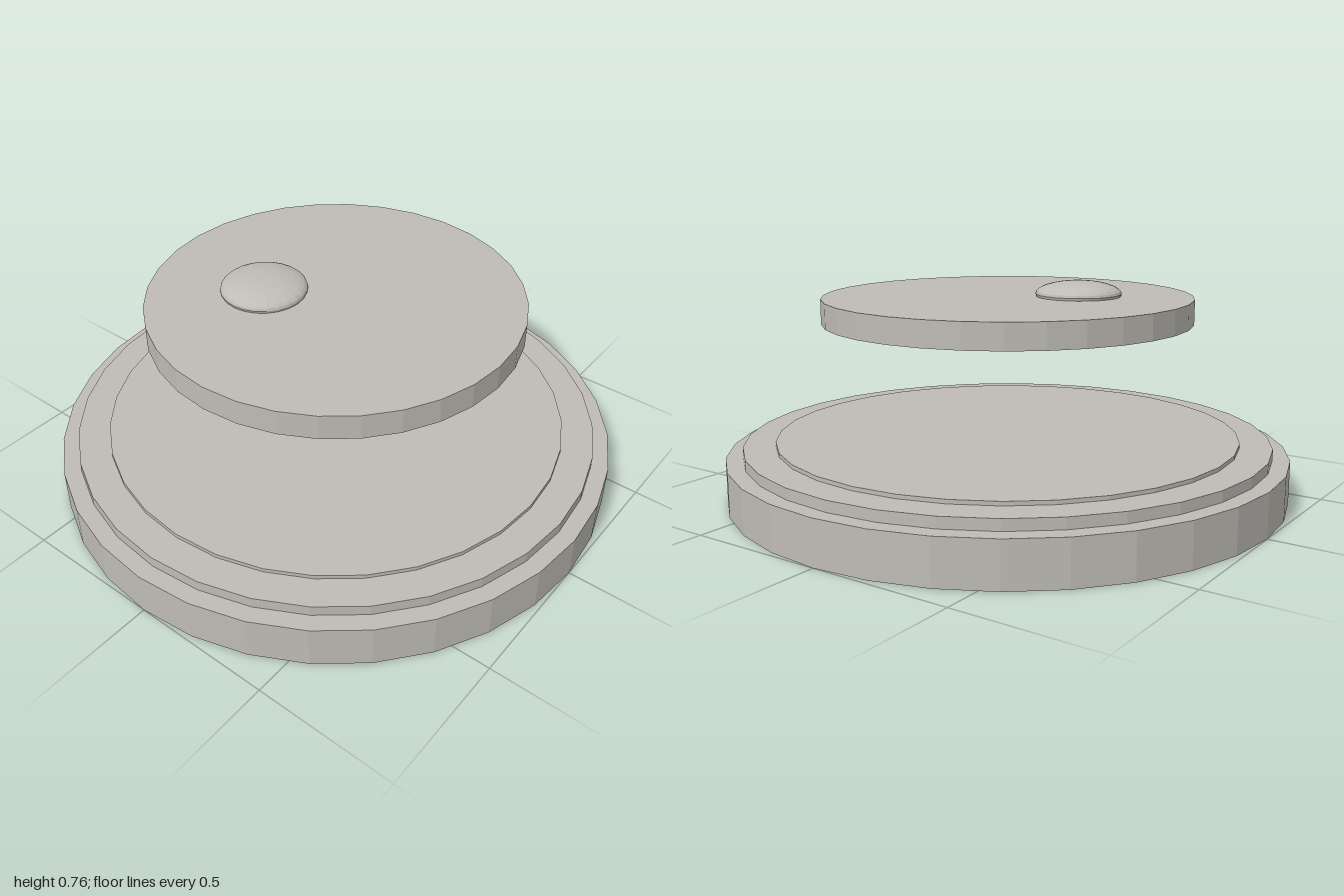
import * as THREE from 'three';

export function createModel() {
  const group = new THREE.Group();
  const stone = new THREE.MeshStandardMaterial({ color: 0xbfbcb5, flatShading: true });
  stone.name = 'warm grey';

  // Flat round slab between two heights
  const disc = (name, radius, bottom, top) => {
    const mesh = new THREE.Mesh(new THREE.CylinderGeometry(radius, radius, top - bottom, 32), stone);
    mesh.name = name;
    mesh.position.y = (bottom + top) / 2;
    group.add(mesh);
  };

  // Stepped base
  disc('base', 1, 0, 0.155);
  disc('baseStep', 0.94, 0.155, 0.193);
  disc('baseInlay', 0.827, 0.193, 0.207);

  // Floating upper plate
  disc('upperPlate', 0.656, 0.617, 0.705);

  // Flattened off-centre button, partly sunk into the plate
  const button = new THREE.Mesh(new THREE.SphereGeometry(0.152, 24, 16), stone);
  button.name = 'button';
  button.scale.y = 0.3;
  button.position.set(-0.217, 0.714, 0.125);
  group.add(button);

  return group;
}
